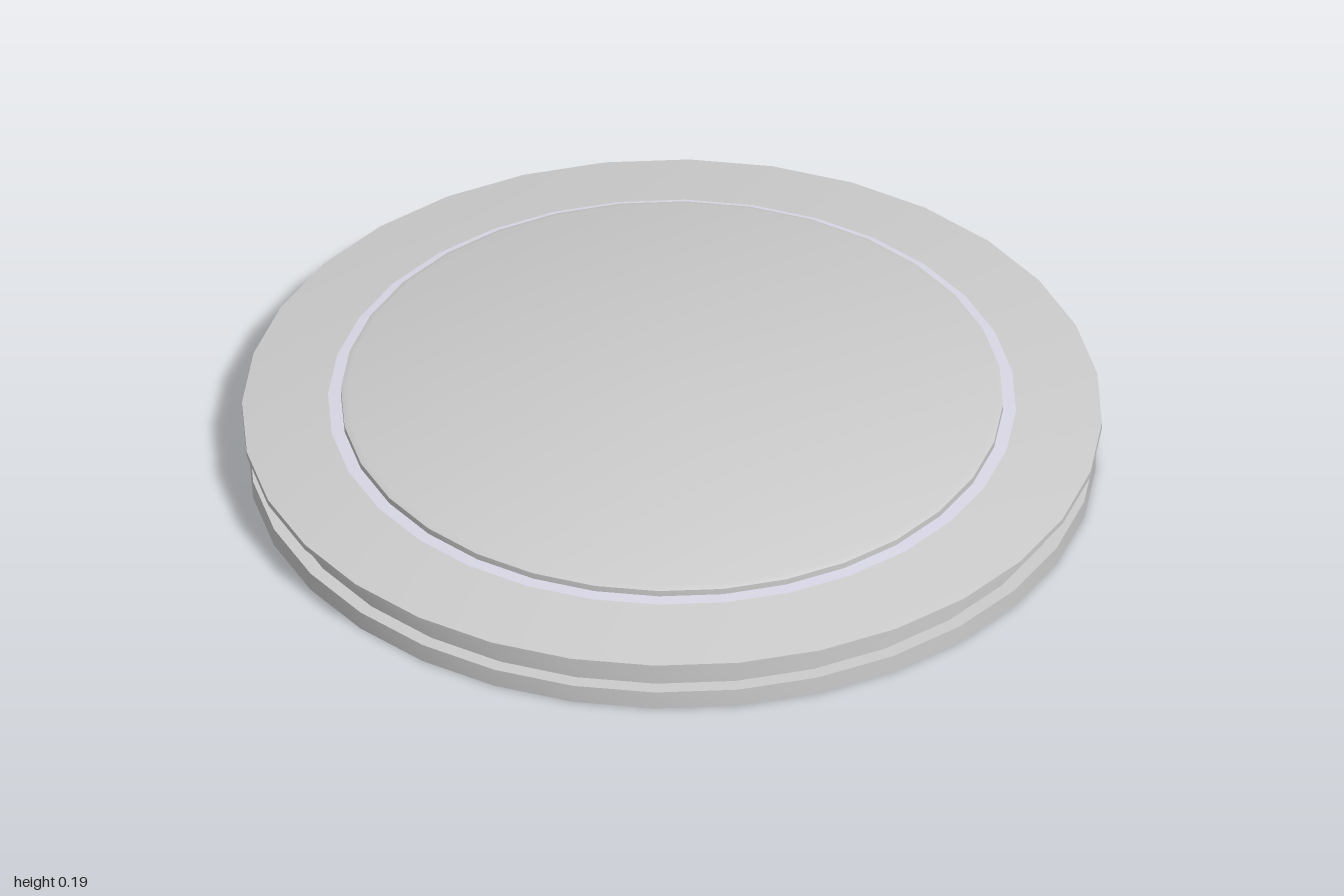
import * as THREE from 'three';
import { toCreasedNormals } from 'three/addons/utils/BufferGeometryUtils.js';

const SIDES = 32;

// Revolve a bottom-to-top profile of [radius, height] points
function turned(name, profile, color = 0xcccccc) {
  const points = profile.map(([r, y]) => new THREE.Vector2(r, y));
  const geometry = toCreasedNormals(new THREE.LatheGeometry(points, SIDES), 0.5);
  const mesh = new THREE.Mesh(geometry, new THREE.MeshStandardMaterial({ color }));
  mesh.name = name;
  return mesh;
}

export function createModel() {
  const group = new THREE.Group();
  group.name = 'roundBase';

  // Flat foot with a vertical edge
  group.add(turned('foot', [[0, 0], [0.985, 0], [0.985, 0.046], [0.95, 0.046]]));

  // Recessed waist flaring out under the lip
  group.add(turned('waist', [[0.95, 0.046], [0.95, 0.09], [0.965, 0.1], [1, 0.12]]));

  // Lip and gently sloping shoulder
  group.add(turned('shoulder', [[1, 0.12], [1, 0.134], [0.9, 0.15], [0.8, 0.164]]));

  // Pale ring around the raised top
  group.add(turned('ring', [[0.8, 0.164], [0.77, 0.166]], 0xd8d6e4));

  // Raised top disc with a softened rim
  group.add(turned('topDisc', [[0.77, 0.166], [0.77, 0.181], [0.755, 0.187], [0, 0.187]]));

  return group;
}
